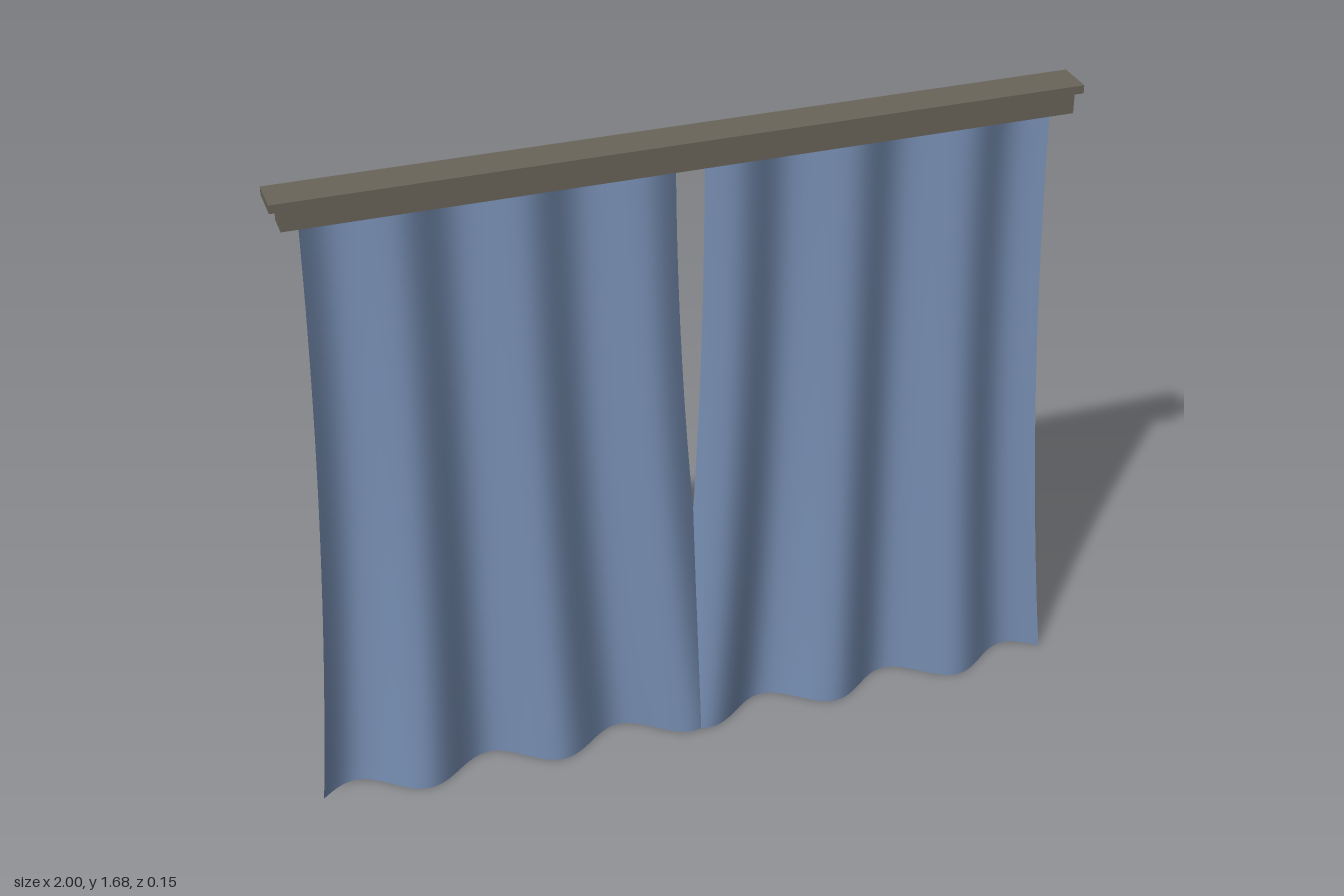
import * as THREE from 'three';

const DROP = 1.61; // height of the cloth

// One hanging panel: three folds that widen and drift forward towards the hem.
function makePanel(side, material) {
  const geometry = new THREE.PlaneGeometry(1, 1, 72, 28);
  const pos = geometry.attributes.position;
  for (let i = 0; i < pos.count; i++) {
    const across = pos.getX(i) + 0.5;
    const u = side < 0 ? across : 1 - across; // 0 = outer edge, 1 = inner edge
    const t = 0.5 - pos.getY(i);              // 0 = top, 1 = hem
    const flare = t * t;
    const outer = 0.92 + 0.08 * flare;
    const inner = 0.035 - 0.1 * flare;        // crosses the middle near the hem
    const sway = Math.pow(t, 1.5);
    const depth = 0.028 + 0.018 * sway;
    const z = -0.015 + 0.045 * sway - depth * Math.sin(u * 3 * Math.PI * 2);
    pos.setXYZ(i, side * (outer + (inner - outer) * u), DROP * (1 - t), z);
  }
  geometry.computeVertexNormals();
  const mesh = new THREE.Mesh(geometry, material);
  mesh.name = side < 0 ? 'rightCurtain' : 'leftCurtain';
  return mesh;
}

function makeBox(name, material, width, y0, y1, z0, z1) {
  const mesh = new THREE.Mesh(new THREE.BoxGeometry(width, y1 - y0, z1 - z0), material);
  mesh.position.set(0, (y0 + y1) / 2, (z0 + z1) / 2);
  mesh.name = name;
  return mesh;
}

export function createModel() {
  const cloth = new THREE.MeshStandardMaterial({ color: 0x758cb0 });
  cloth.name = 'blue cloth';
  cloth.side = THREE.DoubleSide;
  const wood = new THREE.MeshStandardMaterial({ color: 0x6a655a });
  wood.name = 'grey brown wood';

  const model = new THREE.Group();
  model.name = 'curtains';

  // Pelmet: rail with a wider cap board
  model.add(makeBox('rail', wood, 1.93, 1.605, 1.655, -0.044, 0.019));
  model.add(makeBox('capBoard', wood, 1.974, 1.655, 1.676, -0.077, 0.022));

  // Mirrored pair of curtains
  for (const side of [-1, 1]) model.add(makePanel(side, cloth));
  return model;
}
